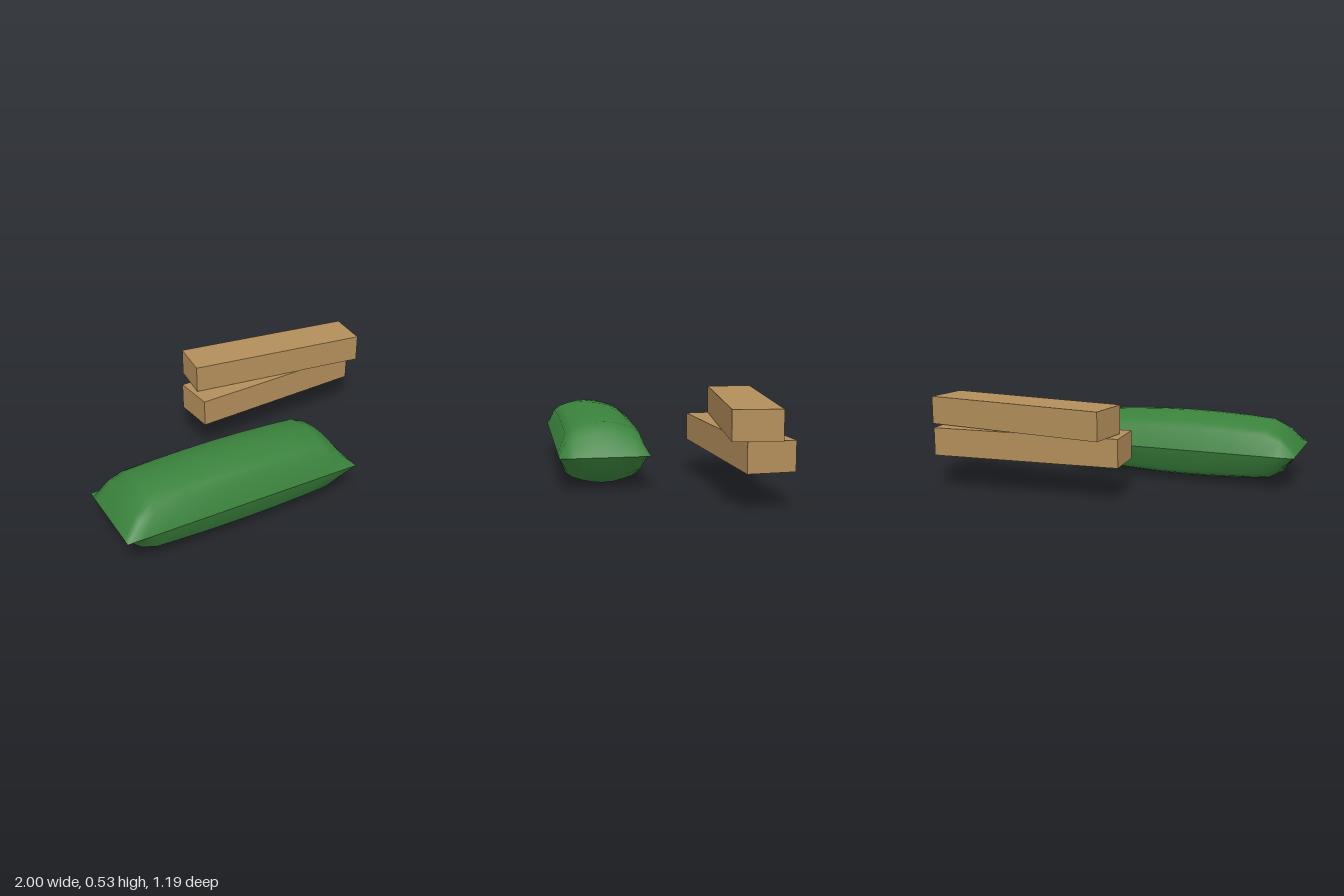
import * as THREE from 'three';

const wood = new THREE.MeshStandardMaterial({ color: 0xb38e5b });
wood.name = 'wood';
const cloth = new THREE.MeshStandardMaterial({ color: 0x3a823c });
cloth.name = 'greenCloth';

// Distance from the centre line and relative puff height, for each direction
const LENGTH_PROFILE = [[0.6975, 0], [0.61, 0.62], [0.525, 0.87], [0.35, 0.94], [0.17, 0.985], [0, 1]];
const WIDTH_PROFILE = [[0.25, 0], [0.208, 0.64], [0.167, 0.8], [0.115, 0.9], [0.055, 0.98], [0, 1]];

const mirrored = (half) => [
  ...half.map(([d, h]) => [-d, h]),
  ...half.slice(0, -1).reverse(),
];

// One puffed half of the cushion, flat around its rectangular seam
function cushionHalf(height) {
  const along = mirrored(LENGTH_PROFILE);
  const across = mirrored(WIDTH_PROFILE);
  const geo = new THREE.PlaneGeometry(1, 1, along.length - 1, across.length - 1);
  const pos = geo.attributes.position;
  across.forEach(([z, hz], j) => along.forEach(([x, hx], i) => {
    pos.setXYZ(j * along.length + i, x, height * hx * hz, z);
  }));
  geo.computeVertexNormals();
  return geo;
}

function createCushion() {
  const cushion = new THREE.Group();
  cushion.name = 'cushion';
  const geo = cushionHalf(0.199);
  ['cushionTop', 'cushionBottom'].forEach((name, i) => {
    const half = new THREE.Mesh(geo, cloth);
    half.name = name;
    half.rotation.x = i * Math.PI;
    cushion.add(half);
  });
  cushion.position.set(-0.3025, 0.2, 0.345);
  return cushion;
}

function createBeam(name, x, y, z, turn) {
  const beam = new THREE.Mesh(new THREE.BoxGeometry(1.098, 0.16, 0.257), wood);
  beam.name = name;
  beam.position.set(x, y, z);
  beam.rotation.y = turn;
  return beam;
}

export function createModel() {
  const model = new THREE.Group();
  model.name = 'cushionAndBeams';
  model.add(
    createCushion(),
    createBeam('lowerBeam', 0.398, 0.281, -0.378, 0.07),
    createBeam('upperBeam', 0.438, 0.446, -0.399, -0.123),
  );
  return model;
}
